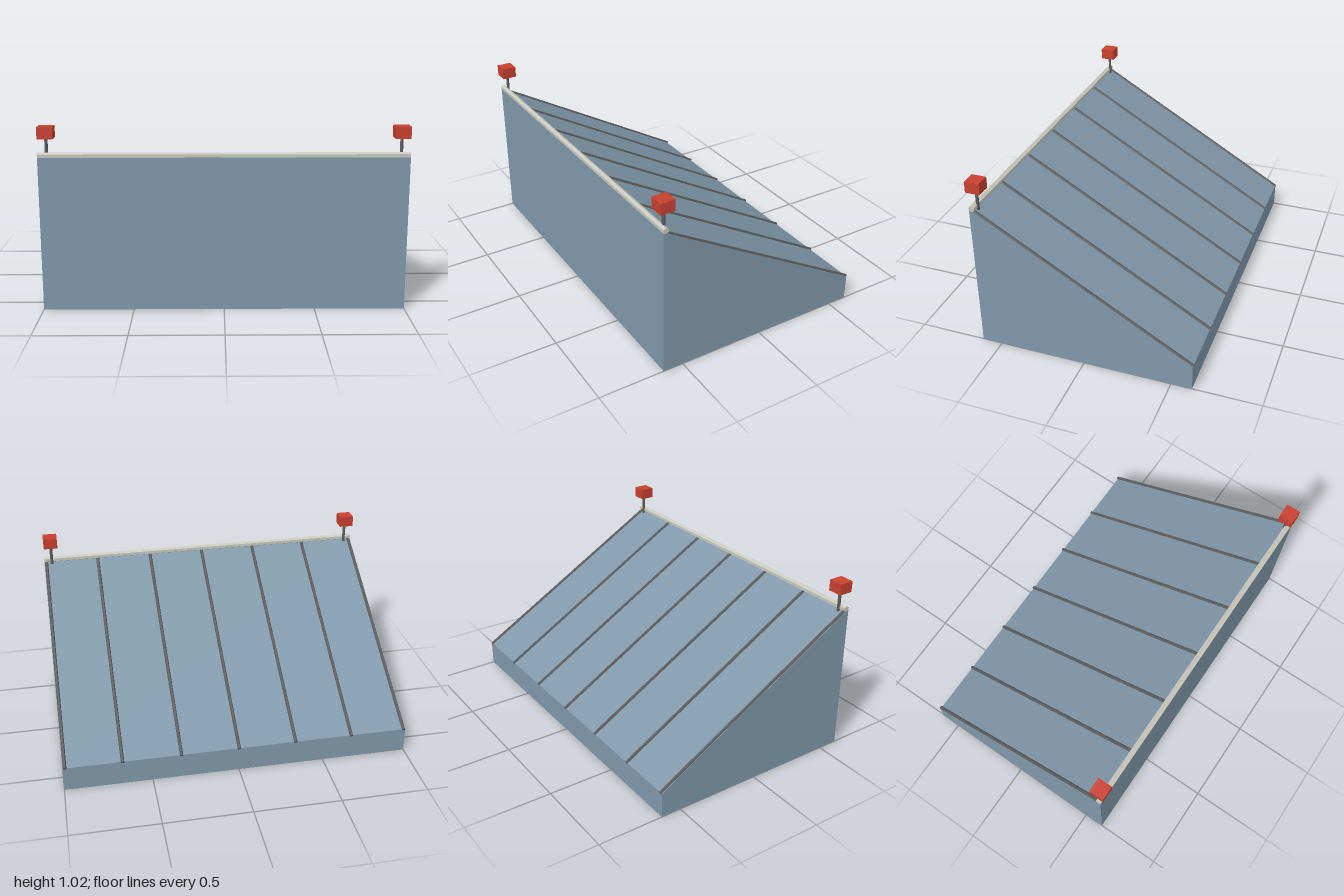
import * as THREE from 'three';

export function createModel() {
  const model = new THREE.Group();
  const material = (name, color) => {
    const m = new THREE.MeshStandardMaterial({ color, flatShading: true });
    m.name = name;
    return m;
  };
  const slateBlue = material('slateBlue', 0x7f98aa);
  const darkGrey = material('darkGrey', 0x5c5c5c);
  const paleGrey = material('paleGrey', 0xc8c8be);
  const red = material('red', 0xc8402f);

  const add = (name, geometry, mat, x = 0, y = 0, z = 0) => {
    const mesh = new THREE.Mesh(geometry, mat);
    mesh.name = name;
    mesh.position.set(x, y, z);
    model.add(mesh);
    return mesh;
  };

  // wedge body: side profile (z, y) extruded across the width
  const slope = Math.PI / 6;
  const front = 0.617, back = -0.617, backHeight = 0.148;
  const roofY = z => backHeight + (z - back) * Math.tan(slope);
  const profile = new THREE.Shape([
    new THREE.Vector2(back, 0),
    new THREE.Vector2(front, 0),
    new THREE.Vector2(front, roofY(front)),
    new THREE.Vector2(back, backHeight),
  ]);
  const body = new THREE.ExtrudeGeometry(profile, { depth: 2, bevelEnabled: false });
  body.rotateY(-Math.PI / 2).translate(1, 0, 0);
  add('body', body, slateBlue);

  // hexagonal ridge cap along the top front edge
  const cap = new THREE.CylinderGeometry(0.0173, 0.0173, 2, 6);
  cap.rotateY(Math.PI / 2).rotateZ(Math.PI / 2);
  add('ridgeCap', cap, paleGrey, 0, 0.865, 0.603);

  // hexagonal seams running down the slope
  const seamTop = 0.6, seamEnd = -0.62;
  const seam = new THREE.CylinderGeometry(0.01, 0.01, (seamTop - seamEnd) / Math.cos(slope), 6);
  seam.rotateY(Math.PI / 2).rotateX(Math.PI / 2 - slope);
  const seamZ = (seamTop + seamEnd) / 2;
  for (let i = -3; i <= 3; i++) {
    const x = THREE.MathUtils.clamp(i / 3, -0.987, 0.987);
    add('roofSeam', seam, darkGrey, x, roofY(seamZ), seamZ);
  }

  // warning lamps on short posts at both ends of the ridge
  const post = new THREE.CylinderGeometry(0.009, 0.009, 0.13, 8);
  const lamp = new THREE.BoxGeometry(0.084, 0.064, 0.084);
  for (const side of [-1, 1]) {
    add('lampPost', post, darkGrey, side * 0.953, 0.905, 0.589);
    add('lamp', lamp, red, side * 0.953, 0.991, 0.589);
  }
  return model;
}
